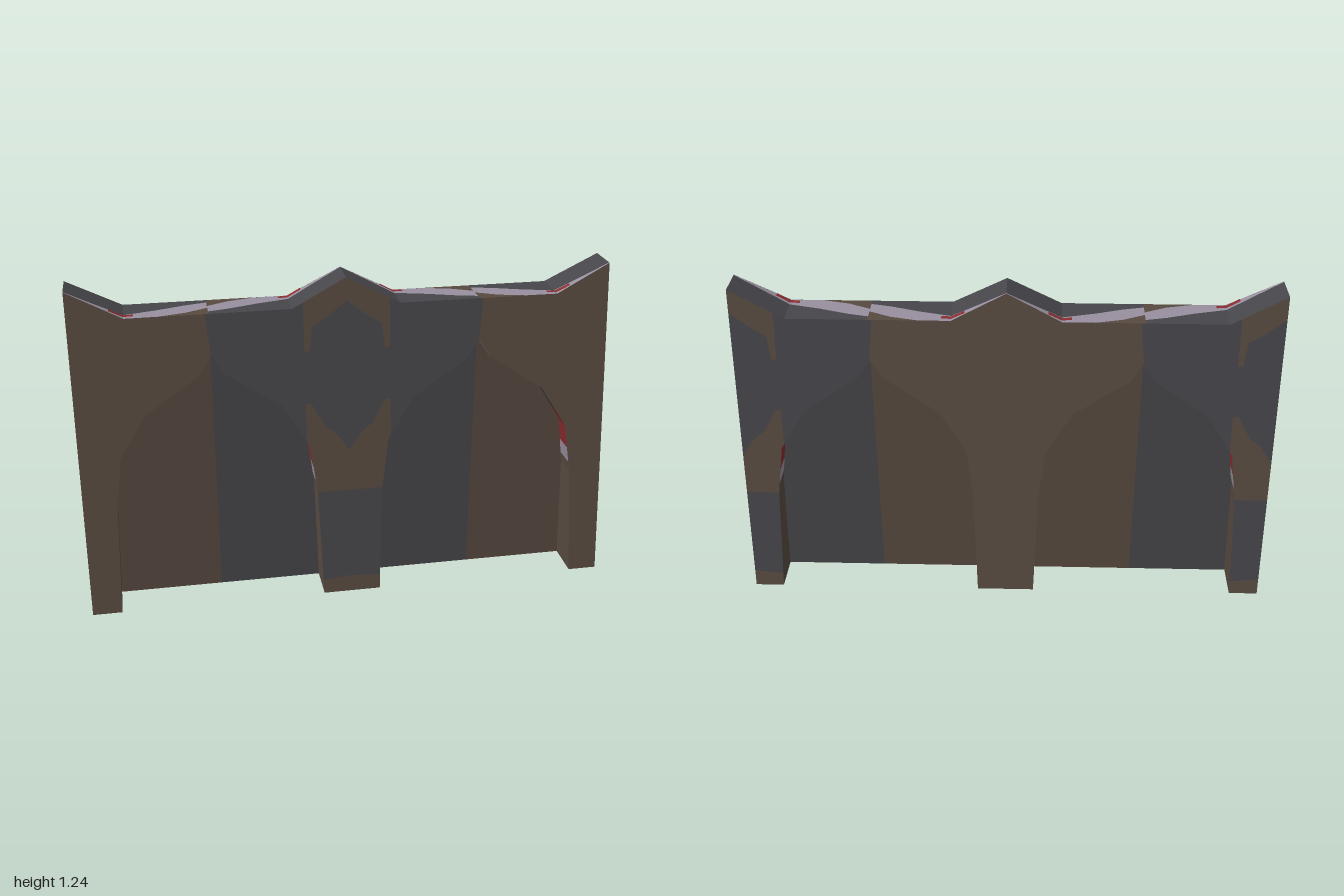
import * as THREE from 'three';

const mat = (name, color) => Object.assign(
  new THREE.MeshStandardMaterial({ color, side: THREE.DoubleSide }), { name });

const PANEL_Z = 0.065;
// battered wall: half depth at a height, and height of the peaked coping
const depth = (y) => 0.21 - 0.1455 * y / 1.235;
const ridge = (x) => 1.13 + 0.105 * Math.max(0, 1 - Math.min(x, 1 - x) / 0.2);

// left half of one arch, mirrored about x = 0.5
const archLeft = [[0.11, 0], [0.125, 0.42], [0.15, 0.61], [0.25, 0.77], [0.455, 0.905], [0.5, 0.975]];
const archRight = archLeft.map(([x, y]) => [1 - x, y]);

export function createModel() {
  const materials = {
    brown: mat('brown stone', 0x584b40),
    gray: mat('gray stone', 0x47474b),
    lavender: mat('pale lavender', 0x988f9e),
    red: mat('dark red', 0x8a2c2e),
  };
  const parts = {};

  // Add triangles to a part, repeated by the wall's symmetry
  function add(name, color, tris, rotate = true) {
    const key = name + '|' + color;
    const out = (parts[key] ??= []);
    const turns = rotate ? [(p) => p, ([x, y, z]) => [1 - x, y, -z]] : [(p) => p];
    for (const turn of turns) {
      for (const tri of tris) {
        const t = tri.map(turn);
        t.forEach((p) => out.push(...p));
        [t[0], t[2], t[1]].forEach(([x, y, z]) => out.push(-x, y, z));
      }
    }
  }
  const quad = (a, b, c, d) => [[a, b, c], [a, c, d]];

  // Triangulate a flat outline and place it in space
  function polygon(points, place) {
    const g = new THREE.ShapeGeometry(new THREE.Shape(points.map((p) => new THREE.Vector2(...p))));
    const pos = g.attributes.position, idx = g.index.array, tris = [];
    for (let i = 0; i < idx.length; i += 3) {
      tris.push([0, 1, 2].map((k) => place(pos.getX(idx[i + k]), pos.getY(idx[i + k]))));
    }
    return tris;
  }

  // Sloping outer face around the arch
  const onFace = (x, y) => [x, y, depth(y)];
  const vee = [[0, 0.58], [0.05, 0.65], [0.09, 0.68], [0.14, 0.77], [0.16, 0.77], [0.16, 0.626]];
  const peak = [[0.16, 1.151], [0.16, 0.97], [0.14, 0.97], [0.13, 1.06], [0.08, 1.09], [0, 1.15]];
  const face = [
    ['pillarFoot', 'brown', [[0, 0], [0.11, 0], [0.112, 0.055], [0, 0.065]]],
    ['pillarBand', 'gray', [[0, 0.065], [0.112, 0.055], [0.125, 0.42], [0, 0.42]]],
    ['pillarCapital', 'brown', [[0, 0.42], [0.125, 0.42], [0.15, 0.61], ...[...vee].reverse()]],
    ['wallFace', 'gray', [...vee, ...archLeft.slice(3), [0.515, 1.13], [0.2, 1.13], ...peak]],
    ['peakTrim', 'brown', [...[...peak].reverse(), [0, 1.235]]],
    ['wallFace', 'brown', [...[...archRight].reverse(), [1, 0], [1, 1.235], [0.8, 1.13], [0.515, 1.13]]],
  ];
  for (const [name, color, pts] of face) add(name, color, polygon(pts, onFace));

  // Recessed panels
  const onPanel = (x, y) => [x, y, PANEL_Z];
  add('recessPanel', 'gray', polygon([...archLeft, [0.5, 0]], onPanel));
  add('recessPanel', 'brown', polygon([...archRight, [0.5, 0]], onPanel));

  // Arch reveals, each step coloured up to its end point
  const steps = [
    [0.11, 0, ''], [0.125, 0.42, 'brown'], [0.13, 0.46, 'brown'], [0.138, 0.52, 'lavender'],
    [0.15, 0.61, 'red'], [0.19, 0.674, 'red'], [0.25, 0.77, 'gray'], [0.42, 0.882, 'gray'],
    [0.455, 0.905, 'lavender'], [0.5, 0.975, 'lavender'],
  ];
  for (let i = 1; i < steps.length; i++) {
    const [x0, y0] = steps[i - 1], [x1, y1, color] = steps[i];
    const q = (X0, Y0, X1, Y1) => quad([X0, Y0, depth(Y0)], [X0, Y0, PANEL_Z],
      [X1, Y1, PANEL_Z], [X1, Y1, depth(Y1)]);
    add('archReveal', color, [...q(x0, y0, x1, y1), ...q(1 - x1, y1, 1 - x0, y0)]);
  }

  // Coping: stations of x with the two borders of the pale vein
  const coping = [[0, -0.0645, -0.06], [0.1, -0.07, -0.05], [0.2, -0.077, -0.038],
    [0.32, -0.076, -0.005], [0.42, -0.05, 0.03], [0.5, -0.01, 0.05]];
  const row = ([x, a, b]) => {
    const y = ridge(x);
    return [-depth(y), a, b, depth(y)].map((z) => [x, y, z]);
  };
  for (let i = 1; i < coping.length; i++) {
    const r0 = row(coping[i - 1]), r1 = row(coping[i]);
    [i > 3 ? 'brown' : 'gray', 'lavender', 'gray'].forEach((color, k) =>
      add('coping', color, quad(r0[k], r0[k + 1], r1[k + 1], r1[k])));
  }
  // Red flecks on the coping
  const fleck = [[0.15, -0.071, -0.052], [0.2, -0.067, -0.047], [0.235, -0.063, -0.045]];
  for (let i = 1; i < fleck.length; i++) {
    const [p, q] = [fleck[i - 1], fleck[i]];
    const at = (x, z) => [x, ridge(x) + 0.003, z];
    add('copingFleck', 'red', quad(at(p[0], p[1]), at(p[0], p[2]), at(q[0], q[2]), at(q[0], q[1])));
  }

  // End walls, outlines given as [z, y]
  const onEnd = (u, y) => [1, y, -u];
  const d = depth;
  const ends = [
    ['brown', [[0.21, 0], [d(0.78), 0.78], [0.05, 0.757], [0, 0.757], [-0.045, 0.775],
      [-0.112, 0.665], [-d(0.63), 0.63], [-0.21, 0]]],
    ['red', [[d(0.78), 0.78], [d(1.18), 1.18], [0.05, 1.1], [0.02, 1.035], [-0.043, 0.86],
      [-0.045, 0.775], [0, 0.757], [0.05, 0.757]]],
    ['lavender', [[d(1.18), 1.18], [d(1.235), 1.235], [0.04, 1.235], [0.035, 1.15],
      [0.02, 1.035], [0.05, 1.1]]],
    ['lavender', [[-0.043, 0.86], [-0.045, 0.775], [-0.112, 0.665], [-d(0.68), 0.68], [-0.09, 0.8]]],
    ['gray', [[0.04, 1.235], [-d(1.235), 1.235], [-d(0.68), 0.68], [-0.09, 0.8], [-0.043, 0.86],
      [0.02, 1.035], [0.035, 1.15]]],
    ['gray', [[-0.112, 0.665], [-d(0.68), 0.68], [-d(0.63), 0.63]]],
  ];
  for (const [color, pts] of ends) {
    add('endWall', color, polygon(pts.map(([z, y]) => [-z, y]), onEnd), false);
  }

  // One mesh per part and colour
  const model = new THREE.Group();
  model.name = 'archedWall';
  for (const [key, positions] of Object.entries(parts)) {
    const [name, color] = key.split('|');
    const g = new THREE.BufferGeometry();
    g.setAttribute('position', new THREE.Float32BufferAttribute(positions, 3));
    g.computeVertexNormals();
    const mesh = new THREE.Mesh(g, materials[color]);
    mesh.name = name;
    model.add(mesh);
  }
  return model;
}
